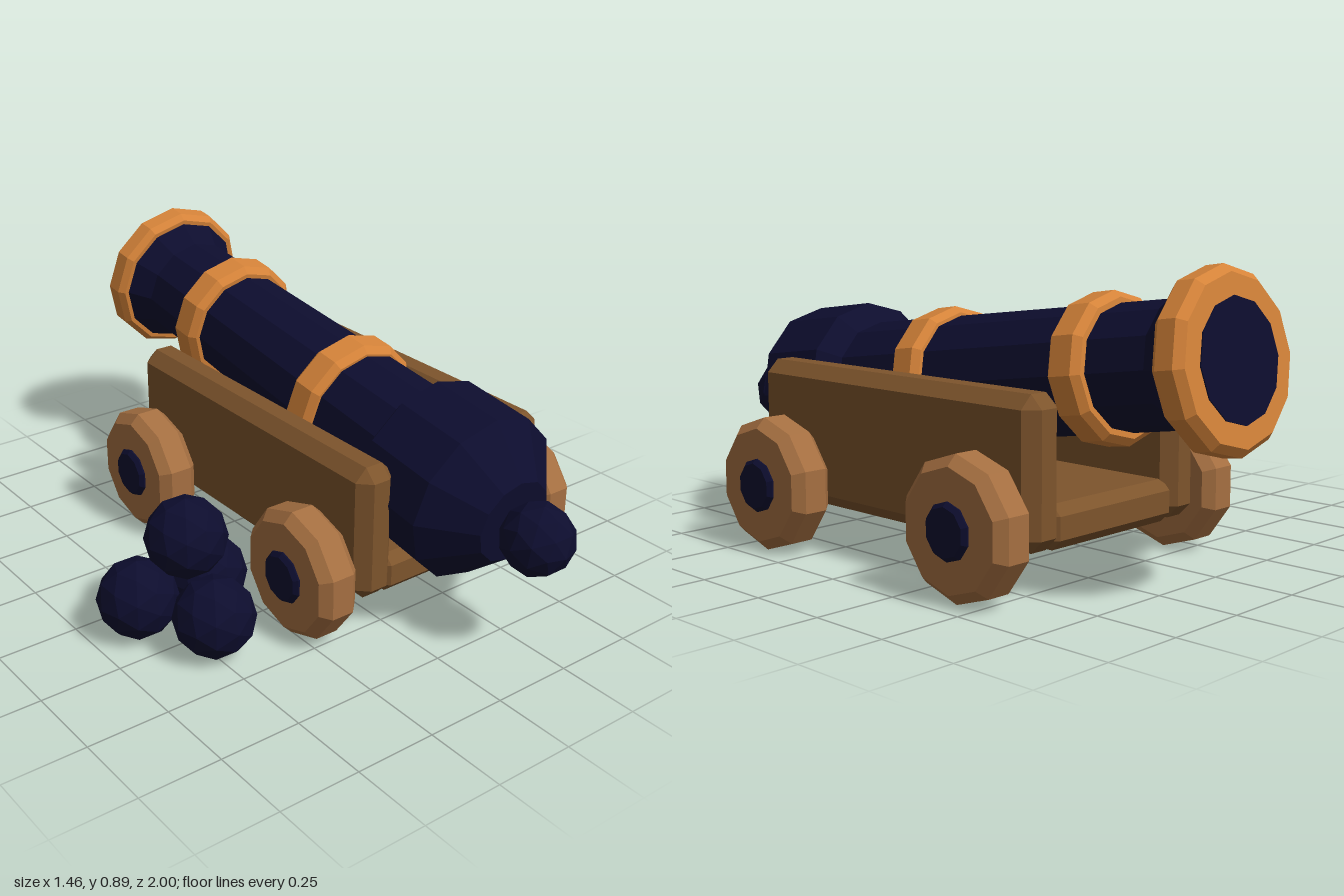
import * as THREE from 'three';
import { ConvexGeometry } from 'three/addons/geometries/ConvexGeometry.js';

const flat = (name, color) => {
  const m = new THREE.MeshStandardMaterial({ color, flatShading: true });
  m.name = name;
  return m;
};

export function createModel() {
  const iron = flat('dark iron', 0x0d0d2e);
  const brass = flat('brass', 0xd58339);
  const plankWood = flat('plank wood', 0x7d542c);
  const wheelWood = flat('wheel wood', 0xa56f41);

  const model = new THREE.Group();
  model.name = 'cannon';
  const CX = 0.215; // centre line of the carriage

  const add = (parent, name, geometry, material, x = 0, y = 0, z = 0) => {
    const mesh = new THREE.Mesh(geometry, material);
    mesh.name = name;
    mesh.position.set(x, y, z);
    parent.add(mesh);
    return mesh;
  };

  // Profile points are [radius, height], from bottom to top
  const lathe = (points, sides) =>
    new THREE.LatheGeometry(points.map(([r, t]) => new THREE.Vector2(r, t)), sides);

  // Box with every edge and corner cut by c
  const chamferBox = (w, h, d, c) => {
    const points = [];
    for (const sx of [-1, 1]) for (const sy of [-1, 1]) for (const sz of [-1, 1])
      for (const [a, b, e] of [[0, c, c], [c, 0, c], [c, c, 0]])
        points.push(new THREE.Vector3(sx * (w / 2 - a), sy * (h / 2 - b), sz * (d / 2 - e)));
    return new ConvexGeometry(points);
  };

  // Closed drum with cut rims
  const drum = (radius, length, c, sides) => lathe([
    [0, -length / 2], [radius - c, -length / 2], [radius, -length / 2 + c],
    [radius, length / 2 - c], [radius - c, length / 2], [0, length / 2],
  ], sides);

  // Barrel, tilted up by 8 degrees; its local y runs towards the muzzle
  const barrel = new THREE.Group();
  barrel.name = 'barrel';
  barrel.position.set(CX, 0.516, 0);
  barrel.rotation.x = -THREE.MathUtils.degToRad(82);
  model.add(barrel);

  add(barrel, 'barrelBody', lathe([
    [0, -0.81], [0.13, -0.81], [0.263, -0.68], [0.26, -0.435], [0.195, -0.385],
    [0.172, 0.805], [0.222, 0.89], [0, 0.93],
  ], 12), iron);
  add(barrel, 'breechKnob', new THREE.IcosahedronGeometry(0.108, 1), iron, 0, -0.902, 0);

  // Brass bands around the barrel
  for (const [name, t0, t1, r] of [['rearBand', -0.13, -0.015, 0.218], ['frontBand', 0.495, 0.61, 0.212]])
    add(barrel, name, lathe([
      [0.15, t0], [r - 0.02, t0], [r, t0 + 0.02], [r, t1 - 0.02], [r - 0.02, t1], [0.15, t1],
    ], 12), brass);

  // Muzzle ring and dark bore
  add(barrel, 'muzzleRing', lathe([
    [0.18, 0.88], [0.23, 0.88], [0.247, 0.9], [0.247, 0.955], [0.225, 0.977], [0, 0.977],
  ], 12), brass);
  add(barrel, 'bore', new THREE.CylinderGeometry(0.165, 0.165, 0.005, 12), iron, 0, 0.978, 0);

  // Carriage
  const carriage = new THREE.Group();
  carriage.name = 'carriage';
  model.add(carriage);
  add(carriage, 'carriageBase', chamferBox(0.52, 0.125, 1.13, 0.03), plankWood, CX, 0.193, -0.008);
  for (const side of [-1, 1]) {
    const label = side > 0 ? 'left' : 'right';
    add(carriage, label + 'SidePlank', chamferBox(0.132, 0.42, 1.15, 0.038), plankWood,
      CX + side * 0.285, 0.347, -0.008);
    // Wheels with iron hubs
    for (const [end, z] of [['Front', 0.393], ['Back', -0.425]]) {
      const wheel = add(carriage, label + end + 'Wheel', drum(0.2, 0.132, 0.03, 10), wheelWood,
        CX + side * 0.43, 0.208, z);
      const hub = add(carriage, label + end + 'Hub', drum(0.08, 0.19, 0.012, 10), iron,
        CX + side * 0.418, 0.208, z);
      // Lathe corner starts on +z; turn so a corner points straight up
      for (const m of [wheel, hub]) m.rotation.set(Math.PI / 2, 0, Math.PI / 2, 'XZY');
    }
  }

  // Pile of cannonballs
  const pile = new THREE.Group();
  pile.name = 'cannonballPile';
  model.add(pile);
  const spots = [[-0.61, 0.13, 0.13], [-0.37, 0.13, 0.13], [-0.49, 0.13, 0.345], [-0.49, 0.328, 0.21]];
  for (const [x, y, z] of spots)
    add(pile, 'cannonball', new THREE.IcosahedronGeometry(0.122, 1), iron, x, y, z);

  return model;
}
